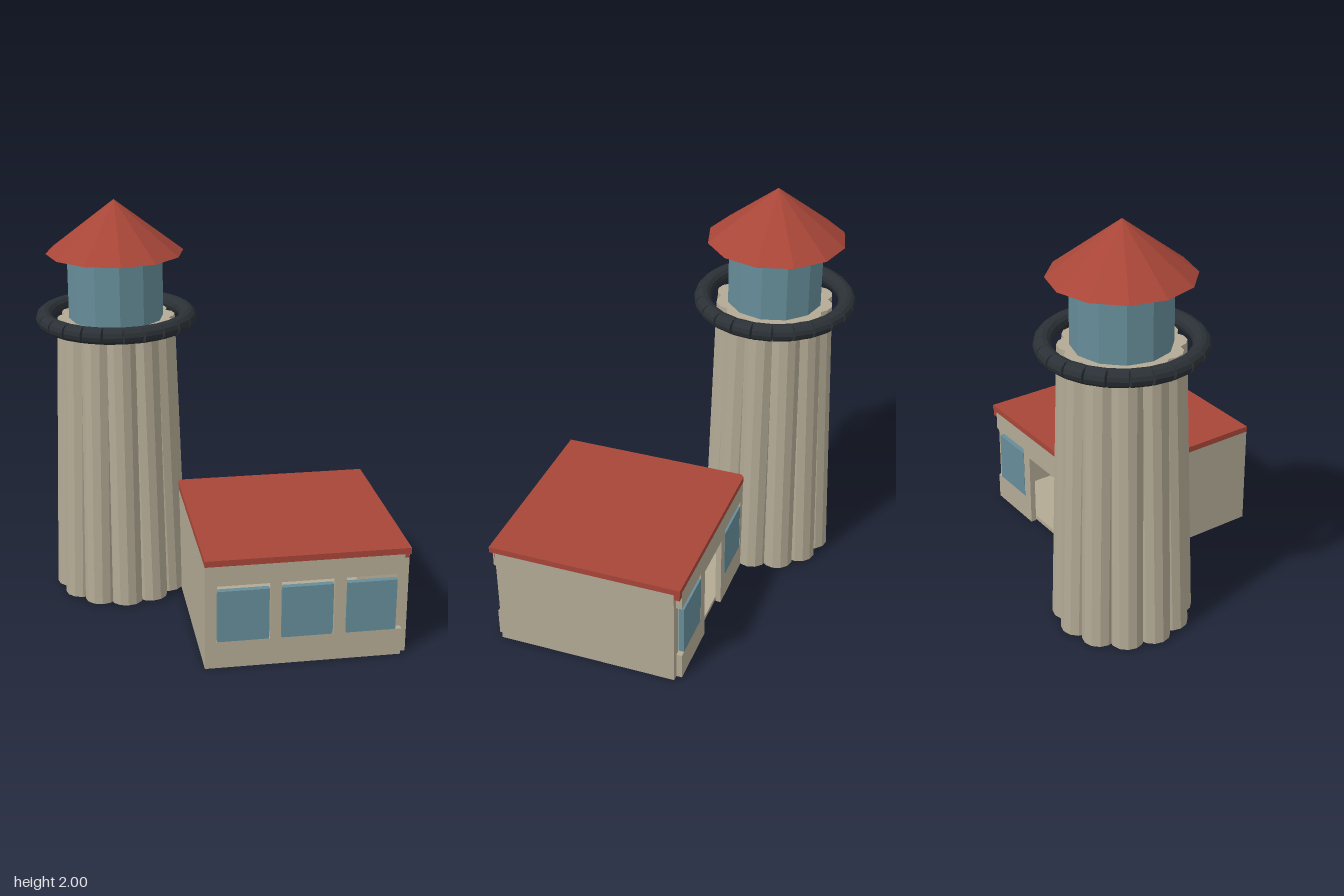
import * as THREE from 'three';

const mat = (color) => new THREE.MeshStandardMaterial({ color, flatShading: true });
const stone = mat(0xb3aa95);
const red = mat(0xa84638);
const glass = mat(0x668d99);
const dark = mat(0x2b3136);

function add(parent, name, geometry, material, x = 0, y = 0, z = 0) {
  const mesh = new THREE.Mesh(geometry, material);
  mesh.name = name;
  mesh.position.set(x, y, z);
  parent.add(mesh);
  return mesh;
}

// Box given by its minimum and maximum on each axis
function block(parent, name, material, [x0, x1], [y0, y1], [z0, z1]) {
  return add(parent, name, new THREE.BoxGeometry(x1 - x0, y1 - y0, z1 - z0), material,
    (x0 + x1) / 2, (y0 + y1) / 2, (z0 + z1) / 2);
}

function createTower() {
  const tower = new THREE.Group();
  tower.name = 'tower';

  // Ring of round columns leaning inward
  const columns = 12, height = 1.42, low = 0.256, high = 0.208, radius = 0.08;
  const lean = Math.atan((low - high) / height);
  const columnGeometry = new THREE.CylinderGeometry(radius, radius, height, 12);
  for (let i = 0; i < columns; i++) {
    const arm = new THREE.Group();
    arm.name = 'columnArm';
    arm.rotation.y = (i / columns) * Math.PI * 2;
    const column = add(arm, 'column', columnGeometry, stone, (low + high) / 2, height / 2 + 0.003, 0);
    column.rotation.z = lean;
    tower.add(arm);
  }

  // Gallery railing made of short straight segments
  const segments = 24;
  const segmentGeometry = new THREE.CylinderGeometry(0.041, 0.041, 0.09, 12);
  segmentGeometry.rotateX(Math.PI / 2);
  for (let i = 0; i < segments; i++) {
    const a = ((i + 0.5) / segments) * Math.PI * 2;
    const segment = add(tower, 'railingSegment', segmentGeometry, dark,
      Math.cos(a) * 0.348, 1.425, -Math.sin(a) * 0.348);
    segment.rotation.y = a;
  }

  // Lantern room and pointed roof
  add(tower, 'lanternRoom', new THREE.CylinderGeometry(0.231, 0.231, 0.35, 12), glass, 0, 1.575, 0);
  add(tower, 'lanternRoof', new THREE.ConeGeometry(0.333, 0.255, 12), red, 0, 1.8725, 0);

  tower.position.set(-0.43, 0, -0.305);
  return tower;
}

const OPENINGS = [[-0.085, 0.165], [0.215, 0.465], [0.52, 0.79]];

// Wall with three openings; the middle one can be a doorway
function createWall(name, z, hasDoor) {
  const wall = new THREE.Group();
  wall.name = name;
  const sill = 0.135, head = 0.42, top = 0.52;
  block(wall, 'header', stone, [-0.14, 0.79], [head, top], z);
  for (const pier of [[-0.14, -0.085], [0.165, 0.215], [0.465, 0.52]]) {
    block(wall, 'pier', stone, pier, [sill, head], z);
  }
  if (hasDoor) {
    block(wall, 'lowerWall', stone, [-0.14, 0.215], [0, sill], z);
    block(wall, 'lowerWall', stone, [0.465, 0.79], [0, sill], z);
    block(wall, 'doorLintel', stone, [0.215, 0.465], [0.39, head], z);
  } else {
    block(wall, 'lowerWall', stone, [-0.14, 0.79], [0, sill], z);
  }
  OPENINGS.forEach(([x0, x1], i) => {
    if (hasDoor && i === 1) return;
    const right = i === 2 ? 0.76 : x1 - 0.005;
    block(wall, 'windowPane', glass, [x0 + 0.003, right], [sill, 0.392], z);
  });
  return wall;
}

function createHouse() {
  const house = new THREE.Group();
  house.name = 'house';
  house.add(createWall('frontWall', [0.66, 0.688], false));
  house.add(createWall('backWall', [-0.263, -0.235], true));

  // Solid side walls and floor
  block(house, 'rightWall', stone, [0.765, 0.82], [0, 0.52], [-0.235, 0.66]);
  block(house, 'leftWall', stone, [-0.14, -0.11], [0, 0.52], [-0.235, 0.66]);
  block(house, 'floor', stone, [-0.11, 0.765], [0.008, 0.03], [-0.235, 0.66]);

  // Flat roof with small corner lips
  block(house, 'roof', red, [-0.14, 0.82], [0.52, 0.55], [-0.265, 0.69]);
  block(house, 'roofLip', red, [0.79, 0.818], [0.49, 0.52], [0.64, 0.664]);
  block(house, 'roofLip', red, [0.79, 0.818], [0.49, 0.52], [-0.263, -0.235]);
  return house;
}

export function createModel() {
  const model = new THREE.Group();
  model.name = 'lighthouse';
  model.add(createTower(), createHouse());
  return model;
}
